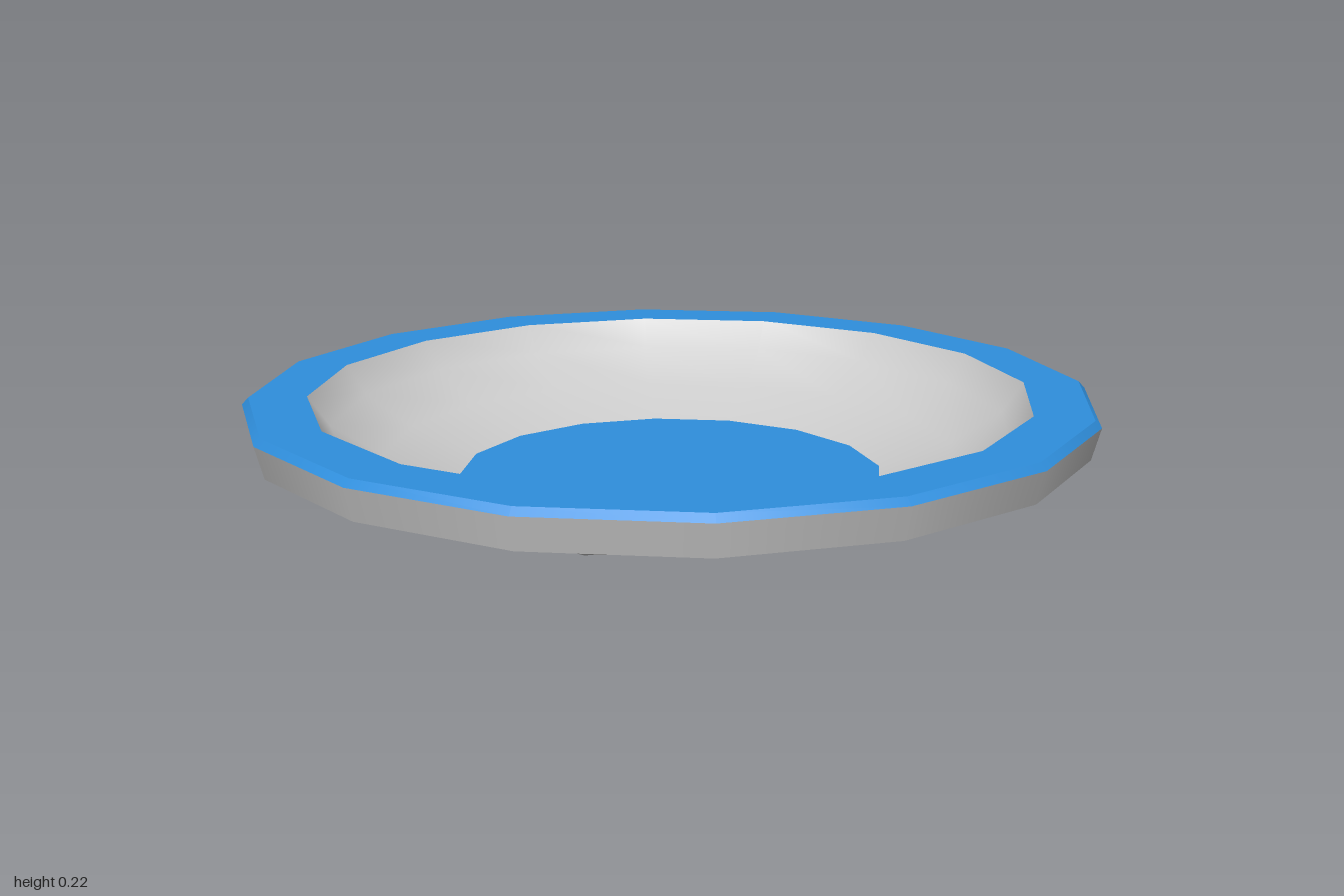
import * as THREE from 'three';
import { mergeVertices } from 'three/addons/utils/BufferGeometryUtils.js';

const SIDES = 16;

export function createModel() {
  const plate = new THREE.Group();
  plate.name = 'plate';
  const grey = new THREE.MeshStandardMaterial({ color: 0xcccccc });
  const blue = new THREE.MeshStandardMaterial({ color: 0x2f8fdd });

  const add = (name, geometry, material) => {
    const mesh = new THREE.Mesh(geometry, material);
    mesh.name = name;
    plate.add(mesh);
    return mesh;
  };
  // Each band is its own lathe, so edges between bands stay sharp
  const band = (profile) =>
    new THREE.LatheGeometry(profile.map(([r, y]) => new THREE.Vector2(r, y)), SIDES);

  // Foot: widens from an octagon on the ground to the sixteen-sided rim
  const foot = band([[0.6, 0], [0.86, 0.13]]);
  const pos = foot.attributes.position;
  for (let i = 0; i < pos.count; i++) {
    const step = Math.floor(i / 2); // two profile points per lathe column
    if (i % 2 === 0 && step % 2 === 1) {
      const k = Math.cos(Math.PI / 8); // middle of an octagon edge
      pos.setX(i, pos.getX(i) * k);
      pos.setZ(i, pos.getZ(i) * k);
    }
  }
  foot.deleteAttribute('uv');
  foot.deleteAttribute('normal');
  const smoothFoot = mergeVertices(foot, 1e-4);
  smoothFoot.computeVertexNormals();
  add('foot', smoothFoot, grey);

  // Base underneath
  add('base', new THREE.CircleGeometry(0.6, 8), blue).rotation.x = Math.PI / 2;

  // Rim: flat underside, slightly flared wall, bevel and flat top
  add('rimUnderside', band([[0.86, 0.13], [0.98, 0.13]]), grey);
  add('rimWall', band([[0.98, 0.13], [1, 0.205]]), grey);
  add('rimBevel', band([[1, 0.205], [0.985, 0.221]]), blue);
  add('rimTop', band([[0.985, 0.221], [0.85, 0.221]]), blue);

  // Curved inside of the bowl
  add('bowl', band([[0.85, 0.221], [0.8, 0.15], [0.68, 0.075], [0.505, 0.02]]), grey);

  // Coloured centre of the plate
  const centre = add('centre', new THREE.CircleGeometry(0.505, SIDES), blue);
  centre.rotation.x = -Math.PI / 2;
  centre.position.y = 0.02;

  return plate;
}
